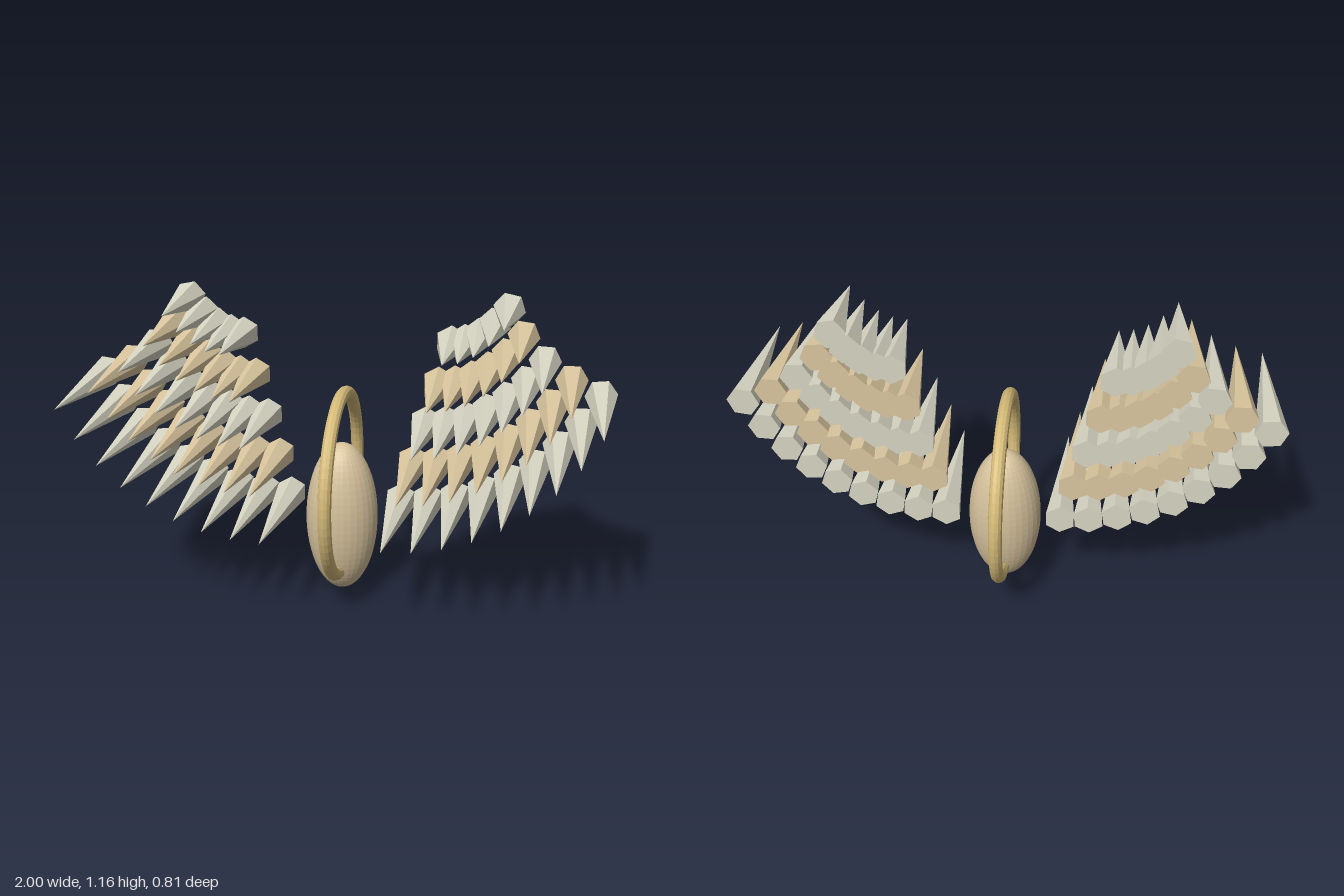
import * as THREE from 'three';

const mat = (name, color) => {
  const m = new THREE.MeshStandardMaterial({ color, flatShading: true });
  m.name = name;
  return m;
};

export function createModel() {
  const group = new THREE.Group();
  const grey = mat('pale grey', 0xd8d6c4);
  const tan = mat('warm tan', 0xdcc8a0);
  const sand = mat('sand', 0xd6c29c);
  const gold = mat('soft gold', 0xd4ba78);

  // Egg-shaped body
  const body = new THREE.Mesh(new THREE.SphereGeometry(1, 32, 32), sand);
  body.name = 'body';
  body.scale.set(0.137, 0.295, 0.12);
  body.position.set(0, 0.296, -0.042);
  group.add(body);

  // Upright ring running front to back through the foot of the body
  const ring = new THREE.Mesh(new THREE.TorusGeometry(0.345, 0.025, 12, 64), gold);
  ring.name = 'ring';
  ring.rotation.y = Math.PI / 2;
  ring.position.set(0, 0.43, -0.04);
  group.add(ring);

  // Wings: five rising rows of forward-pointing spikes, shorter towards the top
  const rows = [
    { gaps: 8, span: 0.725, rise: 0.452, length: 0.532 },
    { gaps: 7, span: 0.573, rise: 0.347, length: 0.487 },
    { gaps: 6, span: 0.43, rise: 0.258, length: 0.443 },
    { gaps: 5, span: 0.305, rise: 0.189, length: 0.396 },
    { gaps: 4, span: 0.205, rise: 0.13, length: 0.347 },
  ];
  const backZ = -0.127;
  for (const side of [1, -1]) {
    const wing = new THREE.Group();
    wing.name = side > 0 ? 'leftWing' : 'rightWing';
    rows.forEach(({ gaps, span, rise, length }, r) => {
      const spike = new THREE.ConeGeometry(0.06, length, 6);
      spike.rotateX(Math.PI / 2);
      spike.translate(0, 0, length / 2);
      const bend = 0.17 - 0.035 * r;
      for (let i = 0; i <= gaps; i++) {
        const t = i / gaps;
        const feather = new THREE.Mesh(spike, r % 2 ? tan : grey);
        feather.name = 'feather';
        feather.position.set(
          side * (0.215 + 0.044 * r + span * t * (1 + bend * (1 - t * t))),
          0.35 + 0.157 * r + rise * t * t,
          backZ
        );
        feather.rotation.z = side * 0.08 * i;
        wing.add(feather);
      }
    });
    group.add(wing);
  }
  return group;
}
